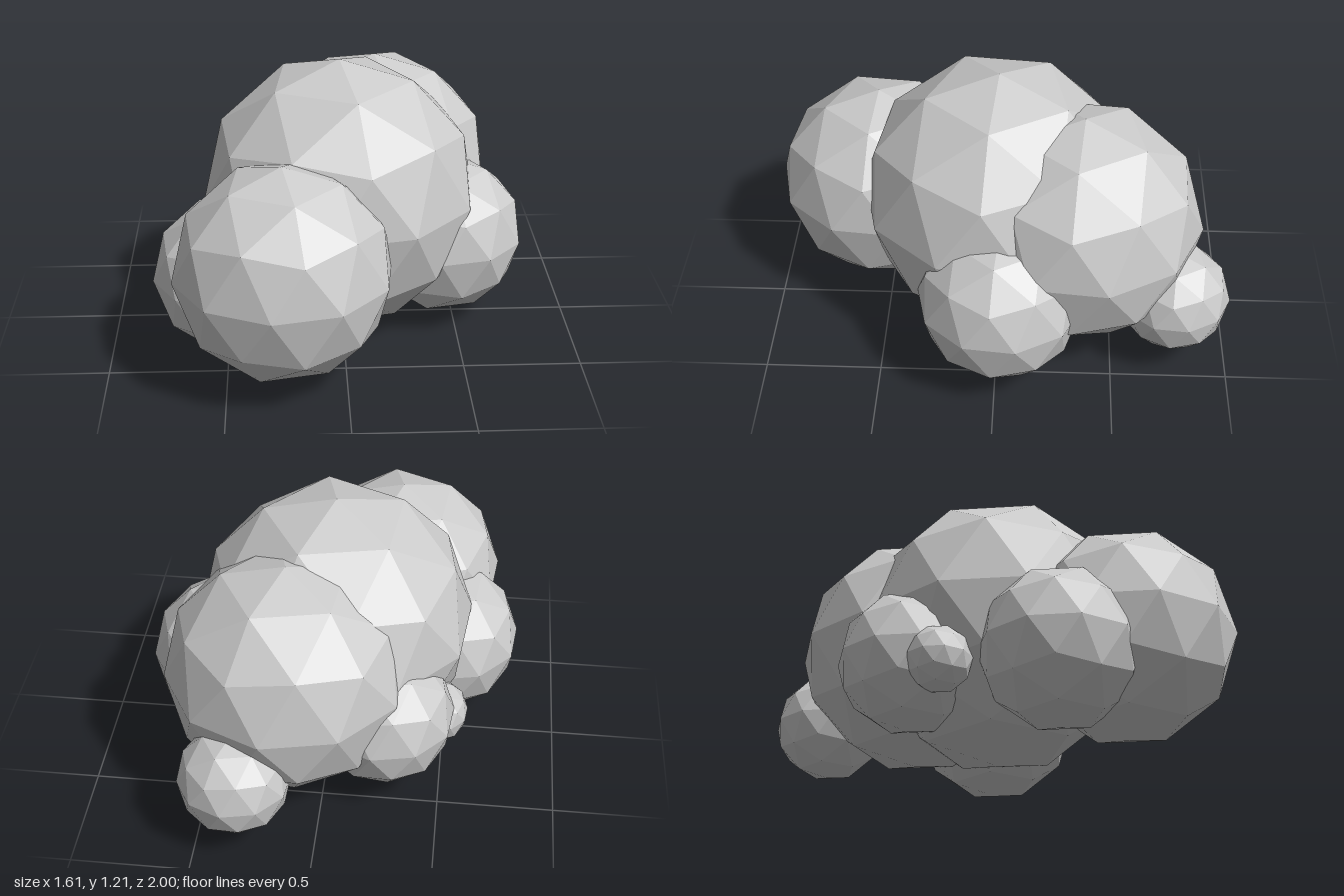
import * as THREE from 'three';

export function createModel() {
  const group = new THREE.Group();
  group.name = 'cloud';
  const material = new THREE.MeshStandardMaterial({ color: 0xcccccc, flatShading: true });

  // Faceted unit ball with one corner pointing straight up
  const puff = new THREE.IcosahedronGeometry(1, 1);
  puff.rotateZ(Math.PI / 2 - Math.atan((1 + Math.sqrt(5)) / 2));
  puff.rotateY(THREE.MathUtils.degToRad(30));

  // name, radius, centre
  const puffs = [
    ['mainPuff', 0.6, -0.01, 0.61, 0],
    ['frontPuff', 0.46, -0.26, 0.49, 0.54],
    ['backPuff', 0.52, 0.16, 0.59, -0.36],
    ['leftPuff', 0.355, 0.45, 0.39, -0.02],
    ['rightPuff', 0.34, -0.48, 0.34, 0.25],
    ['backRightPuff', 0.305, -0.25, 0.38, -0.37],
    ['smallBackPuff', 0.238, 0.335, 0.32, -0.765],
    ['tinyRightPuff', 0.14, -0.47, 0.3, -0.24],
  ];
  for (const [name, radius, x, y, z] of puffs) {
    const mesh = new THREE.Mesh(puff, material);
    mesh.name = name;
    mesh.scale.setScalar(radius);
    mesh.position.set(x, y, z);
    group.add(mesh);
  }
  return group;
}
